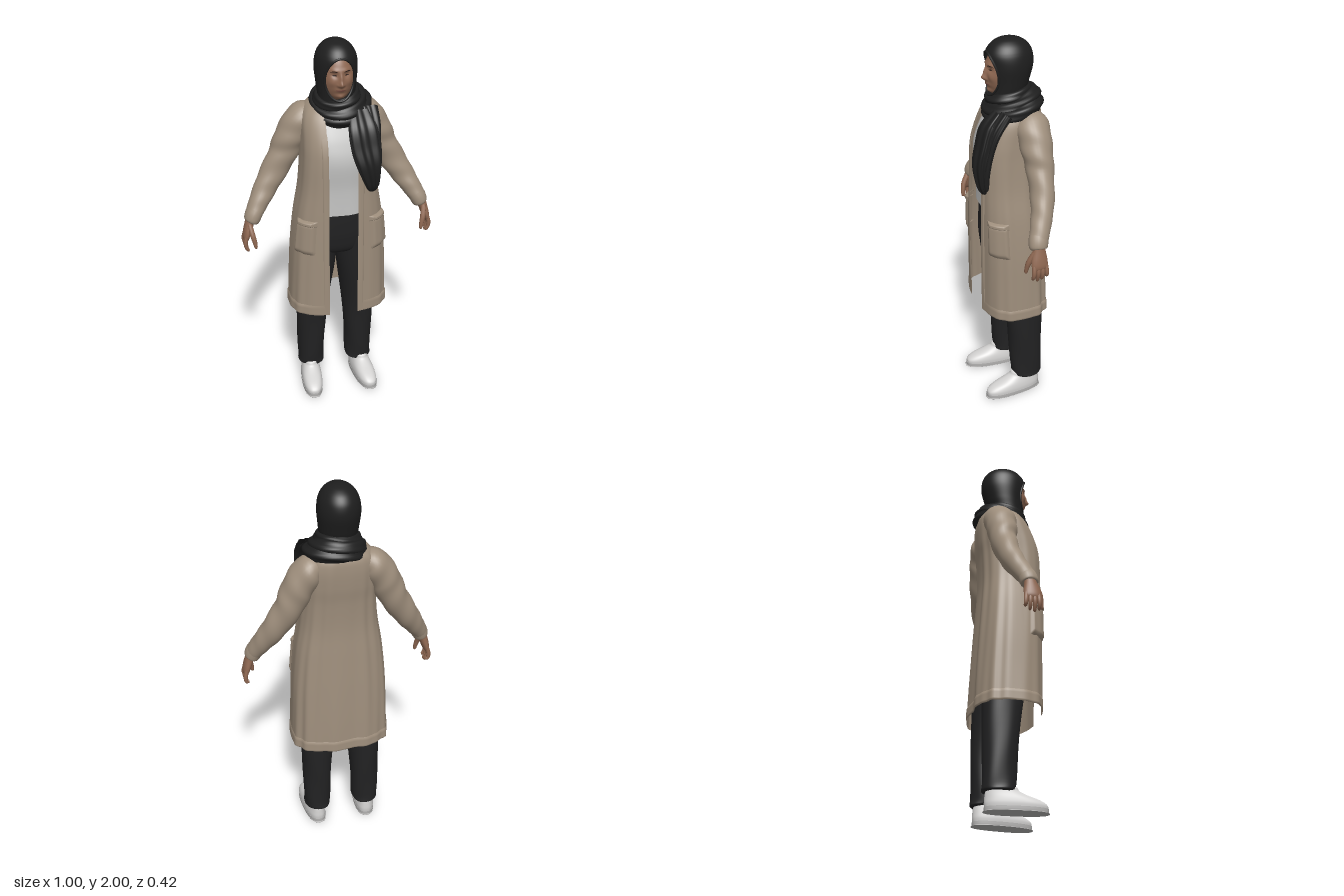
import * as THREE from 'three';
import { mergeVertices } from 'three/addons/utils/BufferGeometryUtils.js';

const TAU = Math.PI * 2;
const mat = (name, color, side = THREE.DoubleSide) => new THREE.MeshStandardMaterial({ name, color, side });
const power = (v, p) => Math.sign(v) * Math.abs(v) ** p;

// Smooth interpolation through rows of numbers, u in 0..1
function sample(rows, u) {
  const f = Math.min(Math.max(u, 0), 1) * (rows.length - 1);
  const i = Math.min(Math.floor(f), rows.length - 2), t = f - i;
  const at = k => rows[Math.min(Math.max(k, 0), rows.length - 1)];
  return rows[i].map((b, k) => {
    const a = at(i - 1)[k], c = at(i + 1)[k], d = at(i + 2)[k];
    return 0.5 * (2 * b + (c - a) * t + (2 * a - 5 * b + 4 * c - d) * t * t + (3 * b - a - 3 * c + d) * t ** 3);
  });
}

// Smooth grid surface; the outside is (around) x (along)
function surface(fn, along, around) {
  const pos = [], index = [], w = around + 1;
  for (let i = 0; i <= along; i++) for (let j = 0; j <= around; j++) pos.push(...fn(i / along, j / around));
  for (let i = 0; i < along; i++) for (let j = 0; j < around; j++) {
    const a = i * w + j, b = a + 1, c = a + w, d = c + 1;
    index.push(a, b, c, b, d, c);
  }
  const g = new THREE.BufferGeometry();
  g.setAttribute('position', new THREE.Float32BufferAttribute(pos, 3));
  g.setIndex(index);
  const m = mergeVertices(g, 1e-5);
  m.computeVertexNormals();
  return m;
}

// Stacked horizontal sections. Row: y, centre x, half width, front z, back z, squareness
function shellPoint([y, cx, hw, zf, zb, n], a, off = 0) {
  const x = cx + (hw + off) * power(Math.sin(a), 2 / n);
  const z = (zf + zb) / 2 + ((zf - zb) / 2 + off) * power(Math.cos(a), 2 / n);
  return [x, y, z];
}
const angleAt = (r, x) => Math.asin(Math.min(1, Math.max(0, x / r[2]) ** (r[5] / 2)));
function shell(rows, { u0 = 0, u1 = 1, range = () => [0, TAU], off = () => 0, along = 40, around = 48 } = {}) {
  return surface((v, t) => {
    const u = u0 + (u1 - u0) * v, r = sample(rows, u), [a0, a1] = range(r);
    const a = a0 + (a1 - a0) * t;
    return shellPoint(r, a, off(u, a, v, t));
  }, along, around);
}
function uAt(rows, y) {
  let lo = 0, hi = 1;
  for (let i = 0; i < 30; i++) { const m = (lo + hi) / 2; if (sample(rows, m)[0] < y) lo = m; else hi = m; }
  return lo;
}

// Sections along a path. Row: x, y, z, half thickness, half depth
function limb(rows, { along = 32, around = 20, fold = () => 0 } = {}) {
  return surface((u, t) => {
    const p = sample(rows, u), a = t * TAU;
    const p0 = sample(rows, u - 0.01), p1 = sample(rows, u + 0.01);
    const dir = new THREE.Vector3(p1[0] - p0[0], p1[1] - p0[1], p1[2] - p0[2]).normalize();
    const U = new THREE.Vector3(0, 0, 1).addScaledVector(dir, -dir.z).normalize();
    const V = dir.clone().cross(U), k = 1 + fold(u, a);
    return new THREE.Vector3(p[0], p[1], p[2])
      .addScaledVector(U, Math.cos(a) * p[4] * k).addScaledVector(V, Math.sin(a) * p[3] * k).toArray();
  }, along, around);
}

function mirrored(geo) {
  const g = geo.clone().applyMatrix4(new THREE.Matrix4().makeScale(-1, 1, 1));
  const ix = g.index.array;
  for (let i = 0; i < ix.length; i += 3) [ix[i], ix[i + 1]] = [ix[i + 1], ix[i]];
  g.computeVertexNormals();
  return g;
}

// Face relief: height added towards the front
const bump = (x, y, cx, cy, sx, sy, h) => h * Math.exp(-(((x - cx) / sx) ** 2) - ((y - cy) / sy) ** 2);
function relief(x, y) {
  const ax = Math.abs(x);
  return bump(x, y, 0, 1.808, 0.012, 0.016, 0.022) + bump(x, y, 0, 1.838, 0.009, 0.026, 0.012)
    + bump(ax, y, 0.014, 1.803, 0.007, 0.007, 0.006) + bump(ax, y, 0.03, 1.852, 0.017, 0.012, -0.009)
    + bump(ax, y, 0.028, 1.876, 0.024, 0.009, 0.005) + bump(ax, y, 0.043, 1.815, 0.018, 0.02, 0.005)
    + bump(x, y, 0, 1.775, 0.025, 0.013, 0.008) + bump(x, y, 0, 1.738, 0.025, 0.016, 0.016);
}
const HEAD = { y: 1.83, rx: 0.082, ry: 0.13, rz: 0.088 };
const faceZ = (x, y) => HEAD.rz * Math.sqrt(Math.max(0, 1 - (x / HEAD.rx) ** 2 - ((y - HEAD.y) / HEAD.ry) ** 2)) + relief(x, y);

export function createModel() {
  const model = new THREE.Group();
  const coatMat = mat('beige knit', 0x9e8e7c), black = mat('black cloth', 0x1e1e1e), trouserMat = mat('charcoal cloth', 0x222223);
  const shirtMat = mat('pale grey cloth', 0xc6c6c5), skin = mat('skin', 0x8f6852), shoeMat = mat('white leather', 0xd4d3d2);
  const dark = mat('dark brown', 0x35241e), lipMat = mat('lip', 0x7c4f45), soleMat = mat('grey rubber', 0xb4b3b2);
  const add = (name, geo, m) => { const o = new THREE.Mesh(geo, m); o.name = name; model.add(o); return o; };
  const pair = (name, geo, m) => { add('left ' + name, geo, m); add('right ' + name, mirrored(geo), m); };

  // Shoes
  const place = g => g.applyMatrix4(new THREE.Matrix4().makeRotationY(0.09).setPosition(0.147, 0, 0));
  pair('shoe', place(shell([
    [0.02, 0, 0.054, 0.153, -0.153, 2.5], [0.04, 0, 0.055, 0.15, -0.155, 2.5], [0.062, 0, 0.052, 0.118, -0.154, 2.4],
    [0.085, 0, 0.046, 0.055, -0.152, 2.3], [0.105, 0, 0.042, 0.015, -0.148, 2.2], [0.125, 0, 0.038, 0.0, -0.142, 2.2],
    [0.127, 0, 0.002, -0.06, -0.064, 2]], { along: 24 })), shoeMat);
  pair('sole', place(shell([
    [0, 0, 0.001, 0.001, -0.001, 2], [0, 0, 0.05, 0.148, -0.149, 2.5], [0.004, 0, 0.055, 0.155, -0.155, 2.5],
    [0.022, 0, 0.056, 0.156, -0.156, 2.5]], { along: 15 })), soleMat);

  // Trousers
  pair('trouser leg', shell([
    [0.105, 0.134, 0.03, -0.05, -0.12, 2], [0.1, 0.134, 0.066, -0.008, -0.162, 2.2], [0.14, 0.134, 0.07, 0, -0.164, 2.2],
    [0.3, 0.132, 0.075, 0.012, -0.165, 2.2], [0.5, 0.126, 0.085, 0.03, -0.166, 2.2], [0.75, 0.108, 0.1, 0.07, -0.166, 2.2],
    [0.9, 0.1, 0.1, 0.09, -0.162, 2.2], [1.0, 0.09, 0.095, 0.095, -0.155, 2.2]],
    { off: (u, a) => 0.0025 * Math.sin(3 * a + 22 * u) * (1 - u) }), trouserMat);
  add('trouser hips', shell([
    [0.83, 0, 0.02, 0, -0.08, 2], [0.87, 0, 0.16, 0.075, -0.15, 2.4], [0.95, 0, 0.185, 0.1, -0.156, 2.5],
    [1.05, 0, 0.18, 0.108, -0.148, 2.5], [1.14, 0, 0.165, 0.108, -0.13, 2.5]]), trouserMat);

  // Shirt
  add('shirt', shell([
    [1.105, 0, 0.172, 0.118, -0.135, 2.6], [1.25, 0, 0.165, 0.122, -0.13, 2.6], [1.4, 0, 0.165, 0.138, -0.135, 2.6],
    [1.5, 0, 0.16, 0.117, -0.14, 2.6], [1.6, 0, 0.135, 0.072, -0.14, 2.5], [1.67, 0, 0.08, 0.04, -0.12, 2.2]],
    { off: (u, a) => 0.002 * Math.sin(9 * a + 5 * u) * (1 - u) }), shirtMat);

  // Open long cardigan with soft folds, front bands, hem and pockets
  const coat = [
    [0.53, 0, 0.258, 0.15, -0.2, 2.8], [0.7, 0, 0.252, 0.151, -0.194, 2.8], [0.9, 0, 0.243, 0.152, -0.183, 2.8],
    [1.09, 0, 0.225, 0.152, -0.17, 2.8], [1.25, 0, 0.2, 0.15, -0.16, 2.8], [1.4, 0, 0.188, 0.148, -0.165, 2.8],
    [1.5, 0, 0.184, 0.132, -0.176, 2.8], [1.6, 0, 0.178, 0.092, -0.18, 2.7], [1.66, 0, 0.15, 0.055, -0.17, 2.5],
    [1.7, 0, 0.085, 0.02, -0.13, 2.2]];
  const GAP = 0.077;
  const folds = (u, a) => (1 - u) * (0.004 * Math.sin(11 * a + 2 * u) + 0.003 * Math.sin(17 * a - 4 * u)) * (0.6 - 0.4 * Math.cos(a));
  const raised = (h, k) => (u, a, v, t) => folds(u, a) + h * Math.min(1, k * Math.min(v, 1 - v, t, 1 - t));
  const open = r => { const a = angleAt(r, GAP); return [a, TAU - a]; };
  add('cardigan body', shell(coat, { range: open, off: folds, along: 60, around: 120 }), coatMat);
  add('cardigan hem', shell(coat, { u1: uAt(coat, 0.59), range: open, off: raised(0.004, 8), along: 8, around: 120 }), coatMat);
  pair('front band', shell(coat, {
    u1: 0.72, range: r => [angleAt(r, GAP - 0.002), angleAt(r, GAP + 0.03)], off: raised(0.004, 6), along: 50, around: 8 }), coatMat);
  pair('pocket', shell(coat, {
    u0: uAt(coat, 0.9), u1: uAt(coat, 1.09), range: () => [0.52, 1.28], off: raised(0.013, 9), along: 20, around: 20 }), coatMat);
  pair('pocket trim', shell(coat, {
    u0: uAt(coat, 1.065), u1: uAt(coat, 1.095), range: () => [0.5, 1.3], off: raised(0.018, 5), along: 8, around: 20 }), coatMat);

  // Sleeves and cuffs
  pair('sleeve', limb([
    [0.09, 1.61, -0.09, 0.03, 0.04], [0.152, 1.592, -0.09, 0.075, 0.083], [0.215, 1.5, -0.09, 0.08, 0.08],
    [0.264, 1.39, -0.09, 0.074, 0.068], [0.342, 1.258, -0.07, 0.064, 0.058], [0.4, 1.165, -0.036, 0.052, 0.052],
    [0.436, 1.105, -0.01, 0.043, 0.048]],
    { along: 48, around: 28, fold: (u, a) => 0.035 * Math.sin(40 * u + 2 * a) * Math.sin(Math.PI * u) }), coatMat);
  pair('cuff', limb([
    [0.425, 1.125, -0.016, 0.044, 0.048], [0.438, 1.1, -0.009, 0.044, 0.049], [0.448, 1.073, -0.004, 0.039, 0.045],
    [0.452, 1.064, -0.003, 0.025, 0.03]], { along: 14 }), coatMat);

  // Hands
  pair('palm', limb([
    [0.445, 1.12, -0.01, 0.026, 0.029], [0.458, 1.07, -0.004, 0.024, 0.032], [0.474, 1.015, 0, 0.021, 0.042],
    [0.483, 0.982, 0.001, 0.016, 0.041], [0.486, 0.962, 0, 0.004, 0.028]]), skin);
  for (let k = 0; k < 4; k++) {
    const z = -0.033 + 0.022 * k, tip = [0.925, 0.908, 0.902, 0.912][k];
    pair('finger ' + (k + 1), limb([
      [0.48, 1.0, z * 0.9, 0.011, 0.011], [0.489, 0.965, z, 0.011, 0.0115], [0.487, 0.938, z * 1.05, 0.01, 0.01],
      [0.477, tip + 0.008, z * 1.05, 0.008, 0.008], [0.474, tip, z * 1.05, 0.001, 0.001]], { along: 14, around: 10 }), skin);
  }
  pair('thumb', limb([
    [0.463, 1.06, 0.018, 0.013, 0.015], [0.453, 1.01, 0.045, 0.014, 0.014], [0.444, 0.97, 0.054, 0.012, 0.011],
    [0.44, 0.943, 0.057, 0.008, 0.008], [0.439, 0.937, 0.057, 0.001, 0.001]], { along: 14, around: 10 }), skin);

  // Head with modelled face
  const head = new THREE.SphereGeometry(1, 96, 72).scale(HEAD.rx, HEAD.ry, HEAD.rz).translate(0, HEAD.y, 0);
  const p = head.attributes.position;
  for (let i = 0; i < p.count; i++) if (p.getZ(i) > 0) {
    p.setZ(i, p.getZ(i) + relief(p.getX(i), p.getY(i)) * Math.min(1, p.getZ(i) / 0.03));
  }
  head.computeVertexNormals();
  add('face', head, skin);

  // Thin facial details that follow the face
  const strip = (x0, x1, y, arch, h, m, name, both) => {
    const g = surface((u, t) => {
      const x = x0 + (x1 - x0) * t, s = Math.sin(Math.PI * t);
      const yy = y + arch * s + (u - 0.5) * h * (0.25 + 0.75 * s);
      return [x, yy, faceZ(x, yy) + 0.0015];
    }, 3, 12);
    if (both) pair(name, g, m); else add(name, g, m);
  };
  strip(0.014, 0.05, 1.868, 0.005, 0.006, dark, 'eyebrow', true);
  strip(0.019, 0.042, 1.851, 0.001, 0.007, dark, 'eye', true);
  strip(-0.024, 0.024, 1.776, 0, 0.01, lipMat, 'lips', false);

  // Headscarf hood with an oval opening and rolled rim
  const hood = [
    [1.6, 0, 0.1, 0.08, -0.14, 2], [1.66, 0, 0.098, 0.078, -0.125, 2], [1.72, 0, 0.094, 0.075, -0.115, 2],
    [1.78, 0, 0.1, 0.076, -0.133, 2], [1.86, 0, 0.107, 0.085, -0.154, 2], [1.92, 0, 0.1, 0.086, -0.15, 2],
    [1.96, 0, 0.08, 0.065, -0.128, 2], [1.985, 0, 0.052, 0.033, -0.094, 2], [1.997, 0, 0.022, -0.006, -0.055, 2],
    [1.999, 0, 0.001, -0.03, -0.032, 2]];
  const opening = y => 0.073 * Math.sqrt(Math.max(0, 1 - ((y - 1.825) / 0.11) ** 2));
  add('scarf hood', shell(hood, {
    range: r => { const a = angleAt(r, opening(r[0])); return [a, TAU - a]; }, along: 90, around: 64 }), black);
  const rim = [];
  for (let i = 0; i < 32; i++) {
    const th = i / 32 * TAU, r = sample(hood, uAt(hood, 1.825 + 0.11 * Math.cos(th)));
    const q = shellPoint(r, angleAt(r, 0.073 * Math.abs(Math.sin(th))));
    rim.push(new THREE.Vector3(Math.sign(Math.sin(th)) * q[0], q[1], q[2]));
  }
  add('hood rim', new THREE.TubeGeometry(new THREE.CatmullRomCurve3(rim, true), 96, 0.006, 8, true), black);

  // Scarf wraps around the neck: centre x, y, z, radius x, radius z, thickness, front dip
  [[0.003, 1.712, -0.025, 0.088, 0.085, 0.03, 0.022], [0.012, 1.675, -0.04, 0.108, 0.108, 0.038, 0.035],
    [0.022, 1.648, -0.045, 0.126, 0.112, 0.037, 0.032]].forEach(([cx, cy, cz, rx, rz, r, dip], k) => {
    add('scarf wrap ' + (k + 1), surface((u, t) => {
      const a = -u * TAU, f = t * TAU, q = r * (1 + 0.1 * Math.sin(5 * f + 2 * a + k) + 0.05 * Math.sin(3 * a + k));
      const o = q * Math.cos(f);
      return [cx + (rx + o) * Math.sin(a), cy - dip * Math.cos(a) + 0.012 * Math.sin(a) + q * Math.sin(f), cz + (rz + o) * Math.cos(a)];
    }, 72, 30), black);
  });

  // Hanging scarf ends, layered and pleated
  const pleat = (u, a) => 0.13 * Math.sin(7 * a + 3 * u);
  add('scarf tail', limb([
    [0.1, 1.65, 0.06, 0.05, 0.025], [0.104, 1.58, 0.118, 0.068, 0.032], [0.112, 1.49, 0.15, 0.069, 0.03],
    [0.125, 1.4, 0.172, 0.057, 0.031], [0.138, 1.31, 0.168, 0.036, 0.026], [0.142, 1.262, 0.158, 0.02, 0.014],
    [0.143, 1.25, 0.155, 0.002, 0.002]], { along: 48, around: 56, fold: pleat }), black);
  add('scarf under tail', limb([
    [0.15, 1.66, 0.04, 0.04, 0.025], [0.155, 1.58, 0.1, 0.038, 0.025], [0.158, 1.48, 0.135, 0.03, 0.022],
    [0.162, 1.38, 0.155, 0.024, 0.02], [0.165, 1.29, 0.155, 0.014, 0.012], [0.165, 1.275, 0.155, 0.002, 0.002]],
    { along: 32, around: 40, fold: pleat }), black);

  return model;
}
